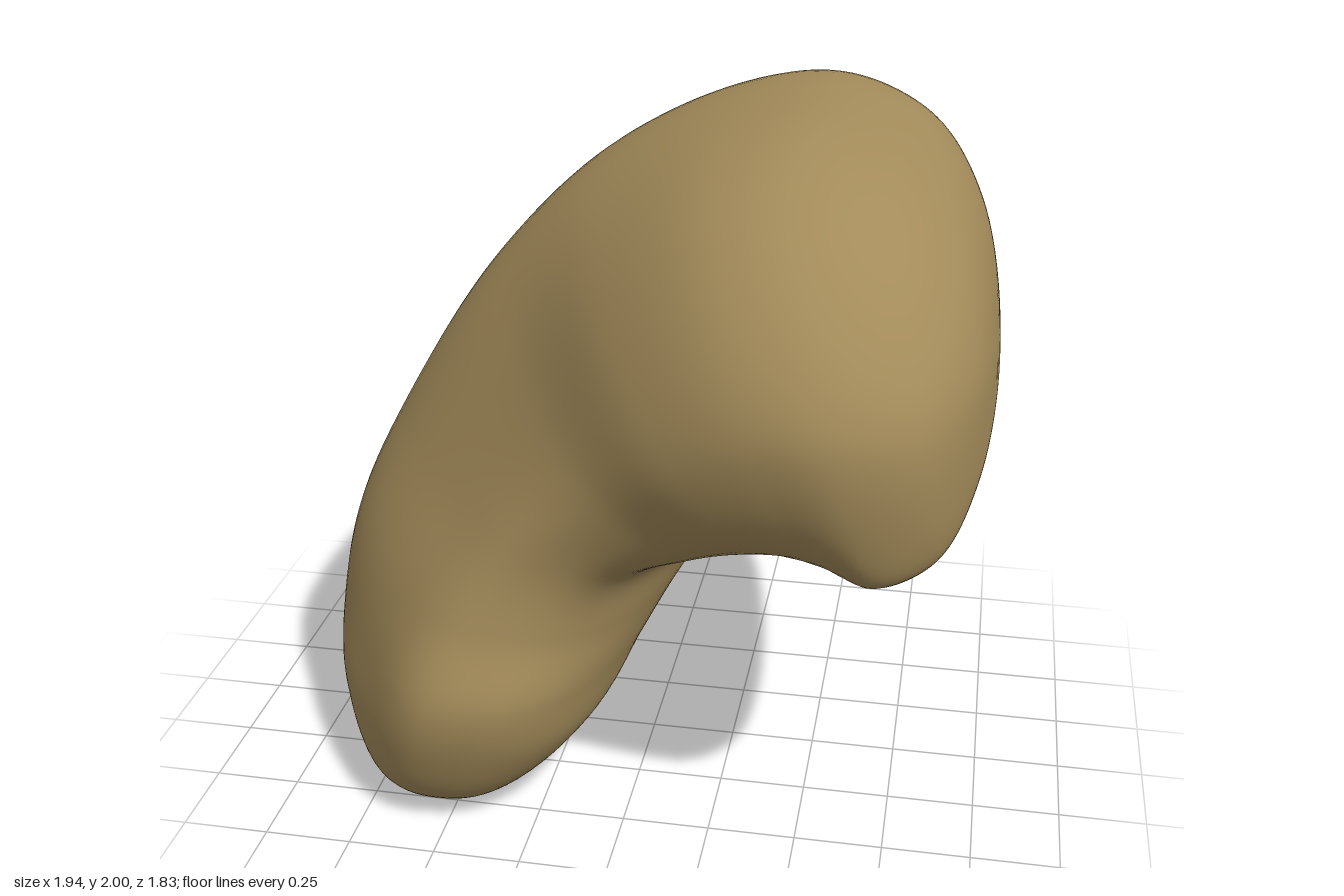
import * as THREE from 'three';
import { mergeVertices } from 'three/addons/utils/BufferGeometryUtils.js';

// Cross-sections from the foot lobe, round the bend, to the head lobe:
// outer x, y, inner x, y, z of outer edge, z of inner edge, front z, back z,
// shift of the front and back sides towards the outer edge,
// fullness of the outer front, inner front and inner back corners
const SECTIONS = [
  [-0.80, 0.09, -0.32, 0.06, 0.32, 0.30, 0.60, 0.12, 0, 0, 0, 0, 0],
  [-0.93, 0.26, -0.10, 0.27, 0.16, 0.22, 0.71, -0.17, -0.03, 0, -0.10, 0, 0],
  [-0.97, 0.45, 0.00, 0.45, 0.00, 0.10, 0.74, -0.34, -0.06, -0.04, -0.13, -0.03, -0.02],
  [-0.92, 0.72, 0.10, 0.62, -0.05, 0.00, 0.67, -0.54, -0.08, -0.05, -0.15, -0.06, -0.05],
  [-0.77, 1.05, 0.20, 0.75, -0.10, -0.12, 0.64, -0.70, -0.16, -0.03, -0.20, -0.10, -0.08],
  [-0.50, 1.48, 0.30, 0.84, -0.15, -0.20, 0.70, -0.80, -0.30, 0, -0.15, -0.02, -0.02],
  [-0.20, 1.78, 0.43, 0.955, -0.20, -0.12, 0.83, -0.86, -0.30, 0.03, 0, 0.08, 0.10],
  [0.15, 1.955, 0.57, 0.97, -0.24, 0.18, 0.90, -0.91, -0.18, 0.1, 0.12, 0.10, 0.08],
  [0.45, 2.00, 0.70, 0.95, -0.25, 0.40, 0.91, -0.89, -0.15, 0.16, 0.15, 0.08, -0.08],
  [0.72, 1.92, 0.85, 0.99, -0.20, 0.38, 0.82, -0.69, -0.12, 0.15, 0.12, 0.05, -0.10],
  [0.89, 1.74, 0.94, 1.14, -0.05, 0.32, 0.60, -0.38, -0.05, 0.08, 0.05, 0, -0.05],
];
const FOOT_TIP = new THREE.Vector3(-0.57, 0, 0.37);
const HEAD_TIP = new THREE.Vector3(0.97, 1.42, 0.16);

// Point on a section; angle 0 is the outer edge, a quarter turn is the front
function sectionPoint(section, angle) {
  const [ox, oy, ix, iy, zOuter, zInner, zFront, zBack,
    frontShift, backShift, outerFront, innerFront, innerBack] = section;
  const c = Math.cos(angle), s = Math.sin(angle);
  const inner = c < 0, front = s > 0;
  const shift = (front ? frontShift : backShift) * s * s;
  const corner = 4 * c * c * s * s;
  let full = 0;
  if (inner) full = -(front ? innerFront : innerBack) * corner;
  else if (front) full = outerFront * corner;
  const across = c + shift + full;
  const deep = inner ? s * (1 + 0.18 * c * c) : s;
  const zMid = (zFront + zBack) / 2;
  const lean = inner ? (zInner - zMid) * c ** 4 : (zOuter - zMid) * c * c;
  return new THREE.Vector3(
    (ox + ix) / 2 + across * (ox - ix) / 2,
    (oy + iy) / 2 + across * (oy - iy) / 2,
    zMid + deep * (zFront - zBack) / 2 + lean,
  );
}

// Smooth closed skin: one curve per angle, running tip to tip through all sections
function beanGeometry(around = 96, along = 120) {
  const positions = [], index = [];
  const first = SECTIONS[0], last = SECTIONS[SECTIONS.length - 1];
  for (let j = 0; j < around; j++) {
    const a = (j / around) * Math.PI * 2;
    const curve = new THREE.CatmullRomCurve3([
      sectionPoint(first, a + Math.PI), // carries the curve smoothly over the tip
      FOOT_TIP,
      ...SECTIONS.map((section) => sectionPoint(section, a)),
      HEAD_TIP,
      sectionPoint(last, a + Math.PI),
    ]);
    const spans = curve.points.length - 1;
    for (let i = 0; i <= along; i++) {
      const p = i === 0 ? FOOT_TIP : i === along ? HEAD_TIP
        : curve.getPoint((1 + (i / along) * (spans - 2)) / spans);
      positions.push(p.x, p.y, p.z);
    }
  }
  const id = (i, j) => (j % around) * (along + 1) + i;
  for (let j = 0; j < around; j++) {
    for (let i = 0; i < along; i++) {
      if (i > 0) index.push(id(i, j), id(i, j + 1), id(i + 1, j));
      if (i < along - 1) index.push(id(i, j + 1), id(i + 1, j + 1), id(i + 1, j));
    }
  }
  const geometry = new THREE.BufferGeometry();
  geometry.setAttribute('position', new THREE.Float32BufferAttribute(positions, 3));
  geometry.setIndex(index);
  const welded = mergeVertices(geometry, 1e-5);
  welded.computeVertexNormals();
  return welded;
}

export function createModel() {
  const tan = new THREE.MeshStandardMaterial({ color: 0xa38b5a });
  tan.name = 'tan';
  const bean = new THREE.Mesh(beanGeometry(), tan);
  bean.name = 'beanBody';
  const group = new THREE.Group();
  group.name = 'bean';
  group.add(bean);
  return group;
}
